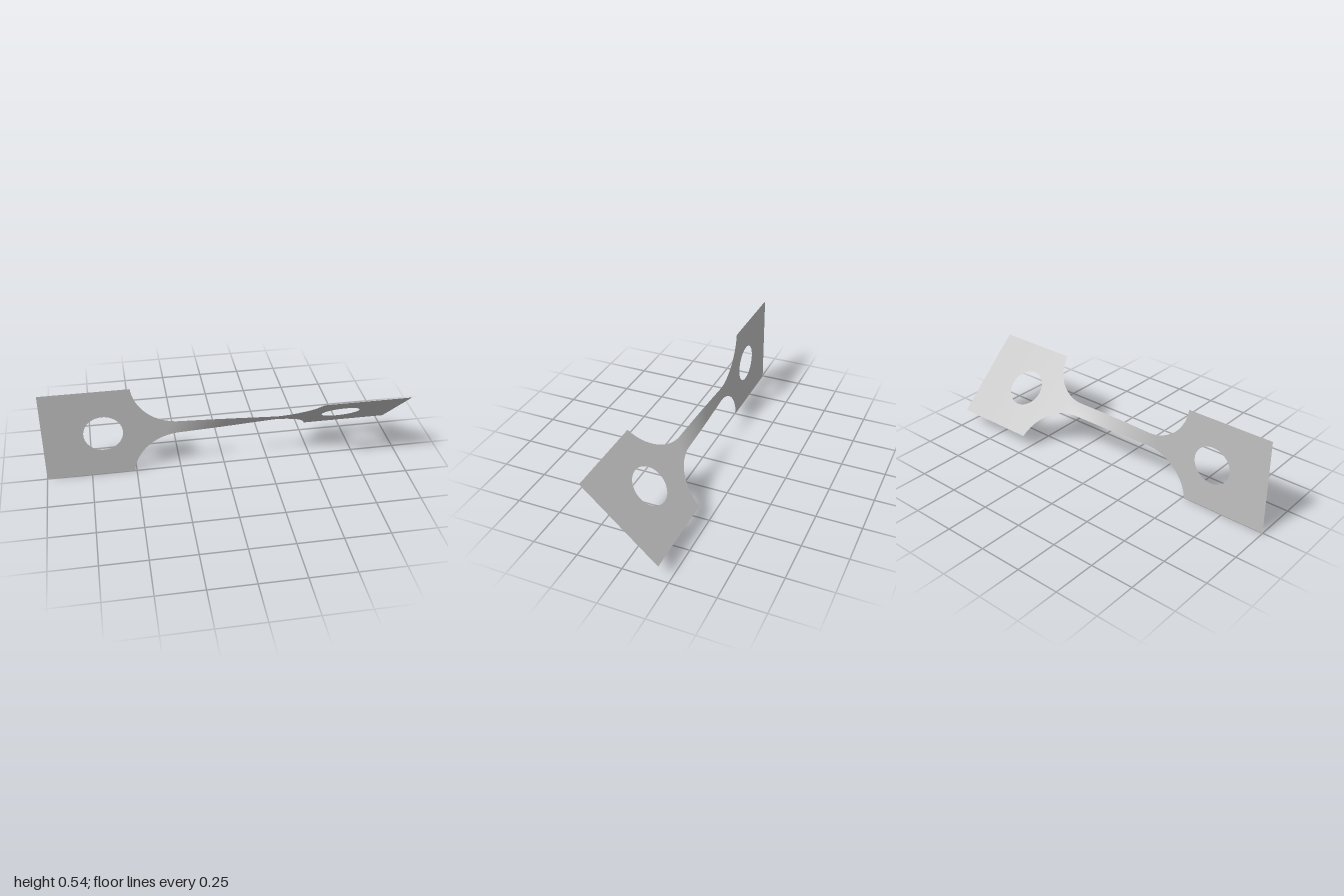
import * as THREE from 'three';
import { mergeVertices } from 'three/addons/utils/BufferGeometryUtils.js';

const HALF = 0.271, NECK = 0.039;          // half widths of tab and neck
const TAB_END = 0.51, NECK_END = 0.25;     // where the fillets start and stop
const HOLE_X = 0.67, HOLE_R = 0.108;
const RUN = TAB_END - NECK_END, RISE = HALF - NECK;
const FILLET = (RUN * RUN + RISE * RISE) / (2 * RISE);

// Half width of the strip: tab, round fillet, neck
function halfWidth(x) {
  const d = Math.abs(x) - NECK_END;
  if (d <= 0) return NECK;
  if (d >= RUN) return HALF;
  return NECK + FILLET - Math.sqrt(FILLET * FILLET - d * d);
}

// Half height of the hole at x
function holeHalf(x) {
  const d = Math.abs(x) - HOLE_X;
  return Math.sqrt(Math.max(0, HOLE_R * HOLE_R - d * d));
}

// Twist about the long axis, taken up by the neck
function twist(x) {
  const t = THREE.MathUtils.clamp((x + 0.31) / 0.62, 0, 1);
  return THREE.MathUtils.degToRad(0.6 + 46.3 * t);
}

// Stations along the strip, dense around holes, fillets and the neck
function stations() {
  const side = [1];
  for (let i = 0; i <= 32; i++) side.push(HOLE_X + HOLE_R * Math.cos(Math.PI * i / 32));
  const sweep = Math.asin(RUN / FILLET);
  for (let i = 24; i >= 0; i--) side.push(NECK_END + FILLET * Math.sin(sweep * i / 24));
  const xs = side.map((x) => -x);
  for (let i = 1; i < 32; i++) xs.push(NECK_END * (i / 16 - 1));
  return xs.concat(side.reverse());
}

// Sheet made of a lower and an upper band that part around the holes
function stripGeometry() {
  const xs = stations(), rows = 6, pos = [], index = [];
  for (const sign of [-1, 1]) {
    const base = pos.length / 3;
    for (const x of xs) {
      const w = halfWidth(x), h = holeHalf(x), a = twist(x);
      const from = sign < 0 ? -w : h, to = sign < 0 ? -h : w;
      for (let j = 0; j <= rows; j++) {
        const v = from + (to - from) * j / rows;
        pos.push(x, HALF + v * Math.cos(a), v * Math.sin(a));
      }
    }
    for (let i = 0; i < xs.length - 1; i++) {
      for (let j = 0; j < rows; j++) {
        const a = base + i * (rows + 1) + j, b = a + rows + 1;
        index.push(a, b, b + 1, a, b + 1, a + 1);
      }
    }
  }
  const g = new THREE.BufferGeometry();
  g.setAttribute('position', new THREE.Float32BufferAttribute(pos, 3));
  g.setIndex(index);
  const merged = mergeVertices(g, 1e-5);
  merged.computeVertexNormals();
  return merged;
}

export function createModel() {
  const group = new THREE.Group();
  group.name = 'twistedTestStrip';
  const metal = new THREE.MeshStandardMaterial({ color: 0xc0c0c0, side: THREE.DoubleSide });
  metal.name = 'light grey metal';
  const strip = new THREE.Mesh(stripGeometry(), metal);
  strip.name = 'twistedStrip';
  group.add(strip);
  return group;
}
